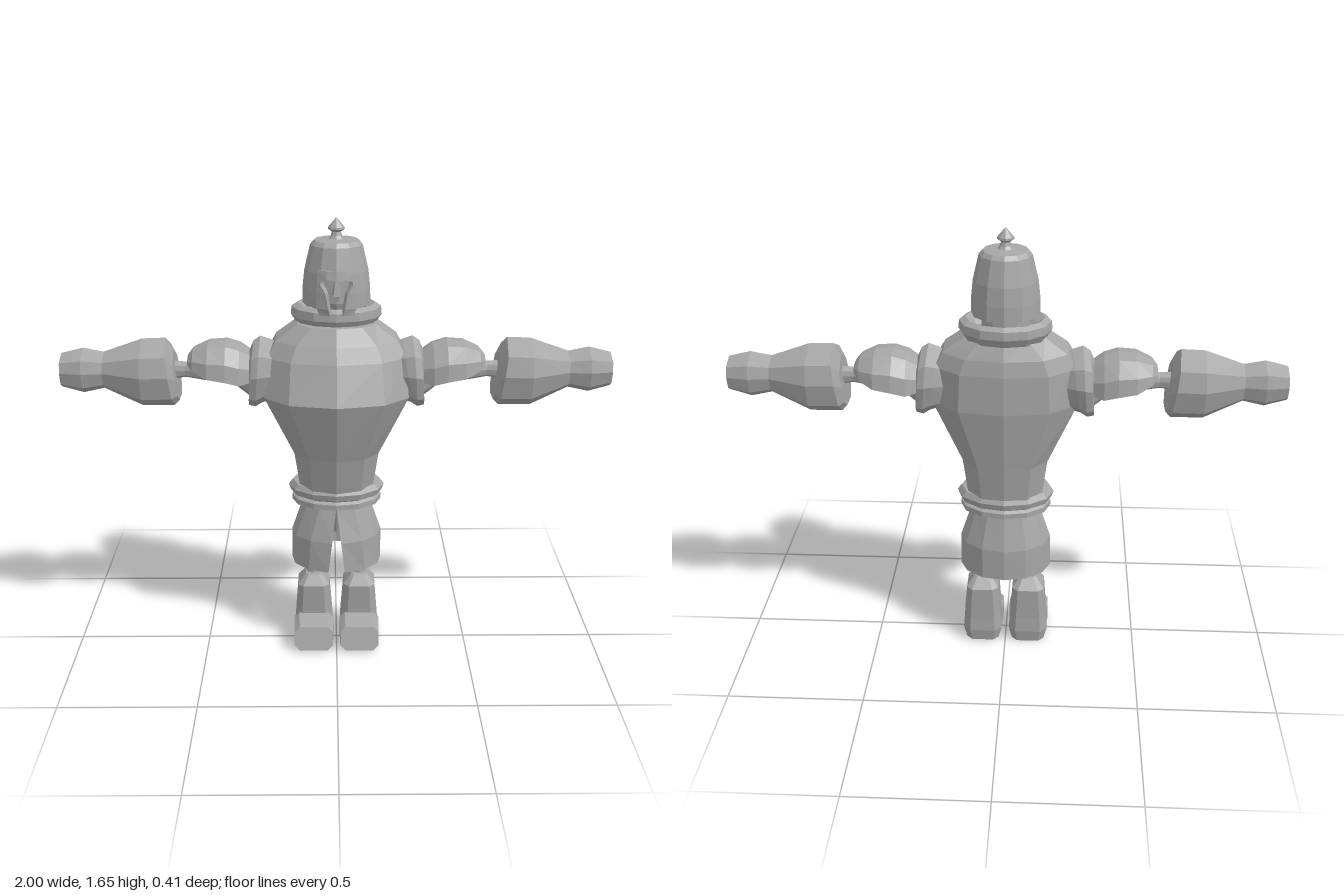
import * as THREE from 'three';

const steel = new THREE.MeshStandardMaterial({ color: 0xa6a6a6, flatShading: true, side: THREE.DoubleSide });
steel.name = 'steel grey';

// Skin a list of rings (arrays of [x,y,z]); rings may be open, ends may be capped.
function loft(rings, { closed = true, caps = true } = {}) {
  const n = rings[0].length, pos = rings.flat(2), idx = [];
  const quads = closed ? n : n - 1;
  for (let r = 0; r < rings.length - 1; r++) {
    for (let i = 0; i < quads; i++) {
      const a = r * n + i, b = r * n + (i + 1) % n;
      idx.push(a, b, b + n, a, b + n, a + n);
    }
  }
  if (closed && caps) {
    const last = (rings.length - 1) * n;
    for (let i = 1; i < n - 1; i++) idx.push(0, i + 1, i, last, last + i, last + i + 1);
  }
  // Turn the faces outwards when the enclosed volume is negative.
  let volume = 0;
  const p = (i) => new THREE.Vector3().fromArray(pos, i * 3);
  for (let i = 0; i < idx.length; i += 3) volume += p(idx[i]).dot(p(idx[i + 1]).cross(p(idx[i + 2])));
  if (volume < 0) idx.reverse();
  const g = new THREE.BufferGeometry();
  g.setAttribute('position', new THREE.Float32BufferAttribute(pos, 3));
  g.setIndex(idx);
  const flat = g.toNonIndexed();
  flat.computeVertexNormals();
  return flat;
}

// Horizontal ellipse; "gap" leaves an opening at the front.
function ellipse(y, rx, rz, cz, n = 12, gap = null, cx = 0) {
  const open = gap !== null, ring = [];
  for (let i = 0; i < n; i++) {
    const a = open ? gap + (i / (n - 1)) * (Math.PI * 2 - 2 * gap) : (i / n) * Math.PI * 2;
    ring.push([cx + rx * Math.sin(a), y, cz + rz * Math.cos(a)]);
  }
  return ring;
}

// Rectangle with cut corners as [u, v] pairs.
function cutRect(hw, hh, c) {
  return [[hw, hh - c], [hw - c, hh], [c - hw, hh], [-hw, hh - c],
    [-hw, c - hh], [c - hw, -hh], [hw - c, -hh], [hw, c - hh]];
}

export function createModel() {
  const model = new THREE.Group();
  const add = (name, geometry, parent = model) => {
    const m = new THREE.Mesh(geometry, steel);
    m.name = name;
    parent.add(m);
    return m;
  };

  // Torso: ten-sided barrel chest tapering to the waist
  const chestShape = [[0, 1], [0.65, 0.83], [1, 0.4], [1, -0.45], [0.62, -0.88],
    [0, -1], [-0.62, -0.88], [-1, -0.45], [-1, 0.4], [-0.65, 0.83]];
  const torso = [
    // y, half width, back z, front z
    [0.64, 0.135, -0.155, 0.09], [0.79, 0.155, -0.175, 0.13], [1.02, 0.26, -0.205, 0.205],
    [1.16, 0.25, -0.2, 0.15], [1.215, 0.22, -0.19, 0.12], [1.275, 0.14, -0.165, 0.085],
  ];
  add('torso', loft(torso.map(([y, w, b, f]) =>
    chestShape.map(([u, v]) => [u * w, y, (b + f) / 2 + v * (f - b) / 2]))));

  // Collar: hollow ring
  const collar = [[0.11, 1.26], [0.145, 1.265], [0.165, 1.295], [0.162, 1.325], [0.14, 1.337], [0.11, 1.32]];
  add('collar', loft(collar.map(([r, y]) => ellipse(y, r, r * 0.8, -0.063)), { caps: false }));

  // Belt: two stacked bands
  const belt = [[0.13, 0.665], [0.165, 0.66], [0.18, 0.64], [0.172, 0.617], [0.152, 0.608],
    [0.168, 0.6], [0.168, 0.58], [0.125, 0.567]];
  add('belt', loft(belt.map(([r, y]) => ellipse(y, r, r * 0.73, -0.035))));

  // Skirt: open cloth with a slit in front
  const skirt = [[0.575, 0.128, 0.108, 0.01], [0.45, 0.17, 0.14, 0.1], [0.33, 0.172, 0.142, 0.18]];
  add('skirt', loft(skirt.map(([y, rx, rz, gap]) => ellipse(y, rx, rz, -0.038, 13, gap)), { closed: false }));
  add('hips', loft([ellipse(0.46, 0.06, 0.05, -0.035, 8), ellipse(0.58, 0.11, 0.09, -0.035, 8)]));

  // Head
  const head = new THREE.Group();
  head.name = 'head';
  model.add(head);
  const hz = -0.036;
  const circle = (y, r, n = 12) => ellipse(y, r, r, hz, n);
  add('neck', loft([circle(1.25, 0.085), circle(1.36, 0.085)]), head);
  add('face', loft([circle(1.31, 0.075), circle(1.36, 0.095), circle(1.48, 0.095)]), head);
  add('helmetCrown', loft([circle(1.465, 0.114), circle(1.555, 0.093), circle(1.57, 0.08), circle(1.575, 0.02)]), head);
  add('helmetSides', loft([[1.345, 0.122], [1.4, 0.121], [1.466, 0.114]].map(([y, r]) =>
    ellipse(y, r, r, hz, 11, Math.PI / 6)), { closed: false }), head);
  add('finial', loft([circle(1.57, 0.032, 8), circle(1.585, 0.02, 8), circle(1.598, 0.016, 8),
    circle(1.608, 0.03, 8), circle(1.615, 0.029, 8), circle(1.647, 0.002, 8)]), head);
  // Nose guard
  add('noseGuard', loft([[1.375, 0.008, 0.092], [1.395, 0.018, 0.096], [1.44, 0.009, 0.086], [1.47, 0.014, 0.08]]
    .map(([y, w, z]) => [[-w, y, 0.04], [-w * 0.6, y, z], [w * 0.6, y, z], [w, y, 0.04]])), head);
  for (const s of [1, -1]) {
    // Cheek guard follows the curve of the helmet
    const arc = (y, r, a0, a1) => [[r, a0], [r, a1], [r - 0.03, a1], [r - 0.03, a0]]
      .map(([q, a]) => [s * q * Math.sin(a), y, hz + q * Math.cos(a)]);
    add('cheekGuard', loft([arc(1.32, 0.116, 0.2, 0.55), arc(1.345, 0.122, 0.24, 0.62),
      arc(1.4, 0.121, 0.33, 0.62), arc(1.43, 0.119, 0.5, 0.62), arc(1.466, 0.115, 0.53, 0.62)]), head);
    // Brow ridge
    add('brow', loft([[0, 1.445, 1.48, 0.086], [0.035, 1.45, 1.48, 0.08], [0.064, 1.435, 1.48, 0.064]]
      .map(([x, y0, y1, z]) => [[s * x, y0, z], [s * x, y1, z - 0.006], [s * x, y1, z - 0.04], [s * x, y0, z - 0.04]])), head);
  }

  // Arms, modelled on the left and mirrored
  const armShape = [[0, 1], [0.85, 0.6], [1, 0], [0.85, -0.7], [0.45, -1], [-0.45, -1], [-0.85, -0.7], [-1, 0], [-0.85, 0.6]];
  // section: x at mid height, bottom y, top y, half depth, centre z, lean of x with height
  const armRing = (s) => ([x, y0, y1, d, cz = -0.03, lean = 0]) => armShape.map(([u, v]) =>
    [s * (x + lean * v), (y0 + y1) / 2 + v * (y1 - y0) / 2, cz + u * d]);
  const shoulder = [[0.2, 1.0, 1.19, 0.09], [0.255, 0.985, 1.21, 0.115, -0.03, -0.015],
    [0.285, 0.97, 1.222, 0.122, -0.03, -0.01], [0.31, 0.975, 1.205, 0.115, -0.03, -0.01], [0.315, 1.0, 1.17, 0.085]];
  const arm = [[0.29, 0.985, 1.17, 0.09], [0.37, 1.045, 1.15, 0.06], [0.48, 1.06, 1.13, 0.042],
    [0.55, 1.07, 1.125, 0.026], [0.62, 1.06, 1.13, 0.03]];
  const gauntlet = [[0.583, 0.99, 1.165, 0.085, -0.03, 0.01], [0.605, 0.975, 1.215, 0.115, -0.03, 0.015],
    [0.705, 0.975, 1.212, 0.118], [0.845, 1.035, 1.163, 0.07], [0.92, 1.02, 1.178, 0.08], [1.0, 1.04, 1.158, 0.064]];
  // Pauldron dome: x, lower y, top y, half depth
  const pauldron = [[0.3, 1.07, 1.155, 0.085], [0.35, 1.065, 1.19, 0.12], [0.4, 1.08, 1.205, 0.128],
    [0.465, 1.09, 1.2, 0.122], [0.52, 1.11, 1.175, 0.085], [0.54, 1.125, 1.15, 0.05]];
  const dome = [[1, 0], [0.92, 0.5], [0.5, 0.92], [0, 1], [-0.5, 0.92], [-0.92, 0.5], [-1, 0], [0, 0.3]];

  for (const s of [1, -1]) {
    const side = new THREE.Group();
    side.name = s > 0 ? 'leftArm' : 'rightArm';
    model.add(side);
    add('shoulderBand', loft(shoulder.map(armRing(s))), side);
    add('arm', loft(arm.map(armRing(s))), side);
    add('gauntlet', loft(gauntlet.map(armRing(s))), side);
    add('pauldron', loft(pauldron.map(([x, y0, y1, d]) =>
      dome.map(([u, v]) => [s * x, y0 + v * (y1 - y0), -0.036 + u * d]))), side);

    // Legs
    const leg = new THREE.Group();
    leg.name = s > 0 ? 'leftLeg' : 'rightLeg';
    leg.position.x = s * 0.088;
    model.add(leg);
    add('shin', loft([[0.26, 0.03], [0.3, 0.025], [0.36, 0.026], [0.47, 0.042], [0.56, 0.045]]
      .map(([y, r]) => ellipse(y, r, r, -0.035, 8))), leg);
    // Boot shaft: y, half width, back z, front z
    add('bootShaft', loft([[0.002, 0.062, -0.1, 0.03], [0.05, 0.074, -0.108, 0.03], [0.11, 0.07, -0.105, 0.026],
      [0.235, 0.06, -0.105, 0.032], [0.275, 0.03, -0.068, 0.006]].map(([y, w, b, f]) =>
      cutRect(w, (f - b) / 2, w * 0.35).map(([u, v]) => [s * u, y, (b + f) / 2 + v]))), leg);
    // Boot toe: z, half width, bottom y, top y, slant of the tip
    add('bootToe', loft([[-0.06, 0.066, 0.001, 0.1, 0], [0.025, 0.076, 0.003, 0.118, 0], [0.112, 0.074, 0.008, 0.095, -0.014]]
      .map(([z, w, y0, y1, slant]) => cutRect(w, (y1 - y0) / 2, 0.02).map(([u, v]) =>
        [s * u, (y0 + y1) / 2 + v, z + slant * v / ((y1 - y0) / 2)]))), leg);
  }
  return model;
}
